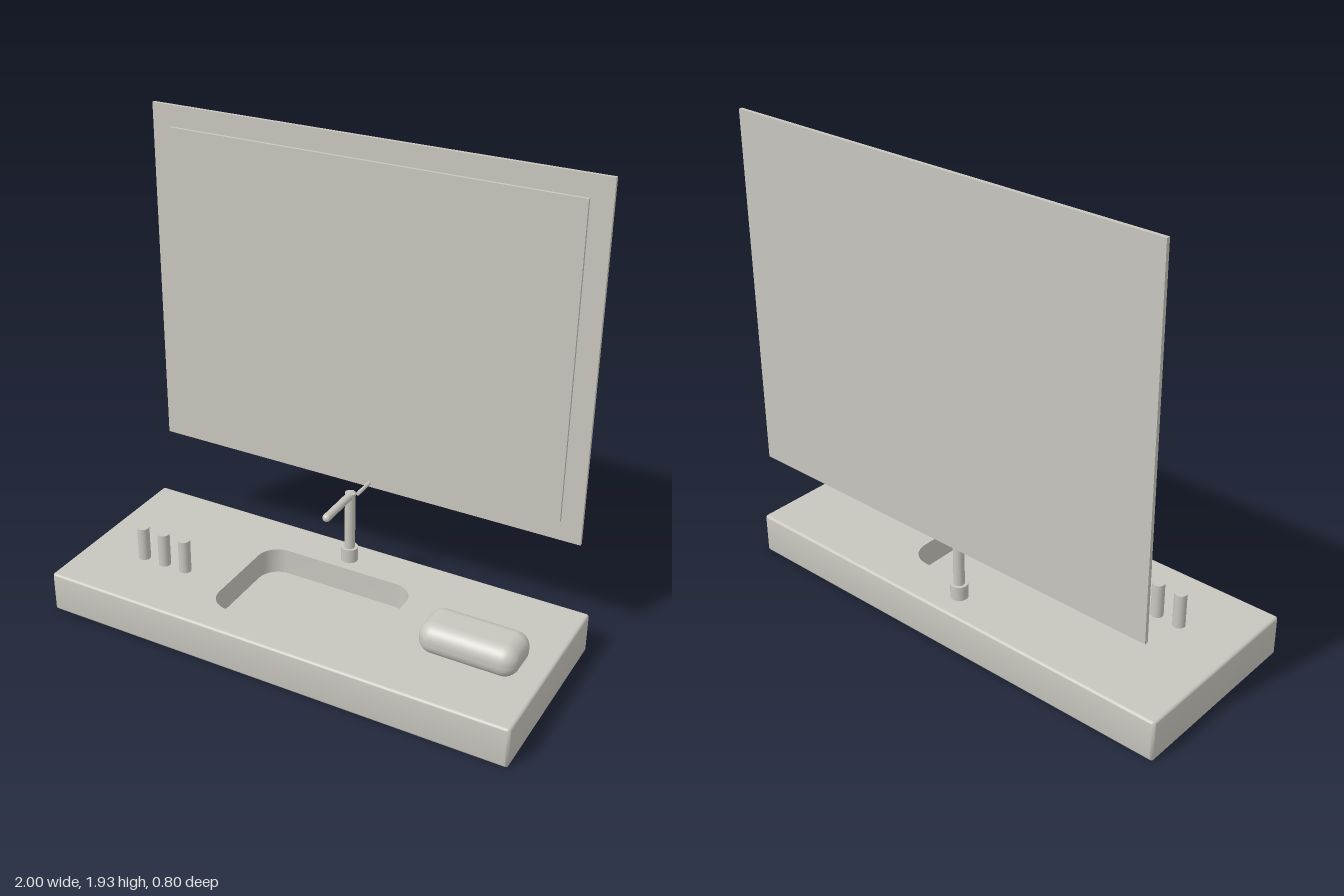
import * as THREE from 'three';
import { toCreasedNormals } from 'three/addons/utils/BufferGeometryUtils.js';
import { RoundedBoxGeometry } from 'three/addons/geometries/RoundedBoxGeometry.js';

// Rounded rectangle outline, counter-clockwise from above; stored as (x, -z)
function roundedRect(w, d, r, cz = 0, steps = 8) {
  const pts = [];
  [[1, 1], [-1, 1], [-1, -1], [1, -1]].forEach(([sx, sy], k) => {
    for (let i = 0; i <= steps; i++) {
      const a = (k + i / steps) * Math.PI / 2;
      pts.push(new THREE.Vector2(
        sx * (w / 2 - r) + r * Math.cos(a),
        sy * (d / 2 - r) + r * Math.sin(a) - cz));
    }
  });
  return pts;
}

// Wall through a stack of outlines; rising rings face outward, falling rings inward
function loft(rings) {
  const pos = [], index = [], n = rings[0].pts.length;
  for (const { pts, y } of rings) for (const p of pts) pos.push(p.x, y, -p.y);
  for (let j = 0; j < rings.length - 1; j++) {
    for (let i = 0; i < n; i++) {
      const a = j * n + i, b = j * n + (i + 1) % n;
      index.push(a, b, b + n, a, b + n, a + n);
    }
  }
  const geo = new THREE.BufferGeometry();
  geo.setAttribute('position', new THREE.Float32BufferAttribute(pos, 3));
  geo.setIndex(index);
  return toCreasedNormals(geo, 0.7);
}

// Flat horizontal face, optionally with a hole or facing down
function face(pts, y, hole, down = false) {
  const shape = new THREE.Shape(pts);
  if (hole) shape.holes.push(new THREE.Path(hole));
  const geo = new THREE.ShapeGeometry(shape).rotateX(-Math.PI / 2);
  if (down) geo.rotateZ(Math.PI);
  return geo.translate(0, y, 0);
}

export function createModel() {
  const model = new THREE.Group();
  model.name = 'washstand';
  const stone = new THREE.MeshStandardMaterial({ color: 0xc8c6be });
  stone.name = 'warm grey';

  const add = (name, geo, x = 0, y = 0, z = 0, parent = model) => {
    const mesh = new THREE.Mesh(geo, stone);
    mesh.name = name;
    mesh.position.set(x, y, z);
    parent.add(mesh);
    return mesh;
  };

  // Countertop with softened edges and a recessed basin
  const H = 0.171, edge = 0.01, floorY = 0.06;
  const counter = new THREE.Group();
  counter.name = 'countertop';
  model.add(counter);
  const outline = (inset) => roundedRect(2 - 2 * inset, 0.8 - 2 * inset, 0.012 - inset);
  const rings = [];
  for (const top of [false, true]) {
    for (let i = 0; i <= 4; i++) {
      const a = (top ? i : 4 - i) / 4 * Math.PI / 2;
      const rise = edge * (1 - Math.sin(a));
      rings.push({ pts: outline(edge * (1 - Math.cos(a))), y: top ? H - rise : rise });
    }
  }
  const basin = roundedRect(0.68, 0.48, 0.09, 0.025);
  add('counterSides', loft(rings), 0, 0, 0, counter);
  add('counterTop', face(outline(edge), H, basin), 0, 0, 0, counter);
  add('counterUnderside', face(outline(edge), 0, null, true), 0, 0, 0, counter);
  add('basinWall', loft([{ pts: basin, y: H }, { pts: basin, y: floorY }]), 0, 0, 0, counter);
  add('basinFloor', face(basin, floorY), 0, 0, 0, counter);

  // Mirror: back panel and raised glass
  add('mirrorPanel', new THREE.BoxGeometry(1.884, 1.456, 0.015), 0, 1.206, -0.388);
  add('mirrorGlass', new THREE.BoxGeometry(1.714, 1.285, 0.013), 0, 1.2055, -0.375);

  // Tap
  const tap = new THREE.Group();
  tap.name = 'tap';
  tap.position.z = -0.288;
  model.add(tap);
  const rod = (r, len) => new THREE.CylinderGeometry(r, r, len, 32);
  add('tapBase', rod(0.035, 0.061), 0, H + 0.0305, 0, tap);
  add('tapColumn', rod(0.022, 0.316), 0, H + 0.158, 0, tap);
  const spout = new THREE.CapsuleGeometry(0.017, 0.21, 6, 24).rotateX(Math.PI / 2);
  add('tapSpout', spout, 0, 0.474, 0.092, tap);
  add('tapLever', rod(0.008, 0.1).rotateX(Math.PI / 2), 0.043, 0.503, -0.031, tap);

  // Row of bottles
  for (let i = 0; i < 3; i++) {
    add('bottle' + (i + 1), rod(0.025, 0.145), -0.744 + i * 0.1, H + 0.0725, 0.113);
  }

  // Rolled towel
  add('towel', new RoundedBoxGeometry(0.4, 0.131, 0.198, 8, 0.06), 0.713, H + 0.0655, 0.07);

  return model;
}
